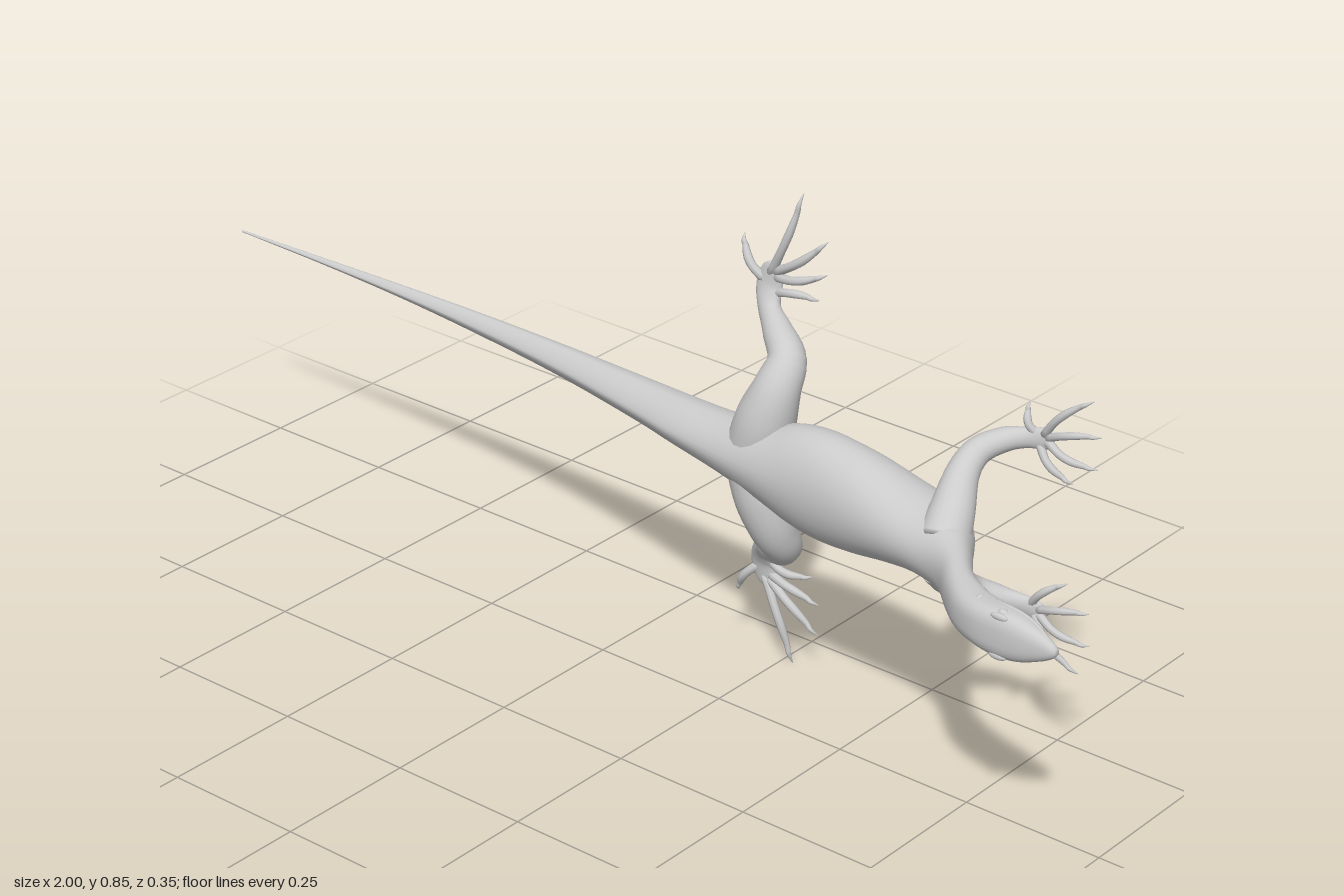
import * as THREE from 'three';

const MID = 0.43; // height of the mirror plane through the spine
const material = new THREE.MeshStandardMaterial({ color: 0xcccccc });
const V = (x, y, z) => new THREE.Vector3(x, y, z);

// Smooth closed skin over rings of points, with a centre point at each end
function loft(name, rings) {
  const n = rings[0].length, pos = [], idx = [];
  rings.forEach((r) => r.forEach((p) => pos.push(p.x, p.y, p.z)));
  for (let i = 0; i < rings.length - 1; i++) {
    for (let j = 0; j < n; j++) {
      const k = (j + 1) % n, a = i * n, b = a + n;
      idx.push(a + j, a + k, b + j, a + k, b + k, b + j);
    }
  }
  const last = rings.length - 1;
  [0, last].forEach((i) => {
    const c = rings[i].reduce((s, p) => s.add(p), V(0, 0, 0)).divideScalar(n);
    const ci = pos.length / 3;
    pos.push(c.x, c.y, c.z);
    for (let j = 0; j < n; j++) {
      const a = i * n + j, b = i * n + (j + 1) % n;
      if (i === 0) idx.push(ci, b, a);
      else idx.push(ci, a, b);
    }
  });
  const g = new THREE.BufferGeometry();
  g.setAttribute('position', new THREE.Float32BufferAttribute(pos, 3));
  g.setIndex(idx);
  g.computeVertexNormals();
  const mesh = new THREE.Mesh(g, material);
  mesh.name = name;
  return mesh;
}

// Tapered limb through stations [x, y, z, radius, flatness]; side -1 mirrors it
function limb(name, stations, side, steps, sides) {
  const place = (s) => V(s[0], MID + side * (s[1] - MID), s[2]);
  const path = new THREE.CatmullRomCurve3(stations.map(place), false, 'catmullrom', 0.5);
  const size = new THREE.CatmullRomCurve3(stations.map((s) => V(s[3], s[4] ?? 1, 0)), false, 'catmullrom', 0.5);
  const rings = [];
  for (let i = 0; i <= steps; i++) {
    const c = path.getPoint(i / steps), t = path.getTangent(i / steps), r = size.getPoint(i / steps);
    const e1 = t.clone().cross(V(0, 0, 1)).normalize();
    const e2 = t.clone().cross(e1);
    rings.push(Array.from({ length: sides }, (_, j) => {
      const a = (j / sides) * Math.PI * 2;
      return c.clone().addScaledVector(e1, r.x * Math.cos(a)).addScaledVector(e2, r.x * r.y * Math.sin(a));
    }));
  }
  return loft(name, rings);
}

// Body stations: back x, back z, belly x, belly z, half width, roundness (1 round, more = ridged, less = boxy)
const BODY = [
  [-1.0, -0.172, -1.0, -0.176, 0.002, 1.2],
  [-0.8, -0.166, -0.8, -0.178, 0.006, 1.3],
  [-0.6, -0.155, -0.6, -0.177, 0.012, 1.35],
  [-0.4, -0.136, -0.4, -0.171, 0.02, 1.35],
  [-0.2, -0.107, -0.2, -0.161, 0.028, 1.35],
  [0.0, -0.065, 0.0, -0.147, 0.037, 1.3],
  [0.1, -0.041, 0.1, -0.138, 0.043, 1.25],
  [0.2, -0.022, 0.2, -0.13, 0.051, 1.15],
  [0.3, -0.006, 0.3, -0.125, 0.07, 1.1],
  [0.36, 0.001, 0.36, -0.125, 0.087, 1.05],
  [0.42, 0.008, 0.42, -0.124, 0.093, 1],
  [0.5, 0.02, 0.5, -0.122, 0.085, 1],
  [0.58, 0.033, 0.58, -0.117, 0.068, 1],
  [0.64, 0.043, 0.65, -0.102, 0.058, 1],
  [0.69, 0.055, 0.7, -0.062, 0.053, 0.95],
  [0.73, 0.077, 0.74, -0.002, 0.044, 0.9],
  [0.77, 0.115, 0.79, 0.062, 0.039, 0.85],
  [0.81, 0.148, 0.84, 0.094, 0.037, 0.75],
  [0.855, 0.167, 0.87, 0.107, 0.038, 0.7],
  [0.9, 0.172, 0.905, 0.119, 0.04, 0.7],
  [0.94, 0.17, 0.94, 0.126, 0.035, 0.75],
  [0.975, 0.163, 0.975, 0.135, 0.022, 0.85],
  [0.993, 0.158, 0.993, 0.14, 0.012, 0.95],
  [1.0, 0.153, 1.0, 0.144, 0.005, 1],
];

function makeBody() {
  const back = new THREE.CatmullRomCurve3(BODY.map((s) => V(s[0], s[1], s[4])), false, 'catmullrom', 0.5);
  const belly = new THREE.CatmullRomCurve3(BODY.map((s) => V(s[2], s[3], s[5])), false, 'catmullrom', 0.5);
  const steps = (BODY.length - 1) * 5, sides = 32, rings = [];
  for (let i = 0; i <= steps; i++) {
    const b = back.getPoint(i / steps), u = belly.getPoint(i / steps);
    rings.push(Array.from({ length: sides }, (_, j) => {
      const a = (j / sides) * Math.PI * 2, c = Math.cos(a), s = Math.sin(a);
      const p = s > 0 ? u.z : Math.min(u.z, 1); // only the back carries a ridge
      const cy = Math.sign(c) * Math.abs(c) ** p, sz = Math.sign(s) * Math.abs(s) ** p;
      const k = (1 + sz) / 2;
      return V(u.x + (b.x - u.x) * k, MID + b.z * cy, u.y + (b.y - u.y) * k);
    }));
  }
  return loft('body', rings);
}

const FRONT_LEG = [
  [0.685, 0.445, 0.0, 0.042], [0.675, 0.485, -0.035, 0.036], [0.66, 0.525, -0.08, 0.027],
  [0.663, 0.551, -0.115, 0.023], [0.69, 0.568, -0.145, 0.02], [0.72, 0.575, -0.161, 0.017, 0.7],
  [0.75, 0.58, -0.167, 0.018, 0.4], [0.765, 0.583, -0.167, 0.008, 0.5],
];
const HIND_LEG = [
  [0.262, 0.44, -0.075, 0.052], [0.28, 0.5, -0.073, 0.05], [0.295, 0.555, -0.08, 0.04],
  [0.295, 0.598, -0.105, 0.032], [0.255, 0.625, -0.132, 0.025], [0.222, 0.645, -0.153, 0.021, 0.8],
  [0.211, 0.675, -0.163, 0.025, 0.4], [0.215, 0.705, -0.166, 0.023, 0.32], [0.22, 0.722, -0.166, 0.01, 0.5],
];
// Toes: root x, y, tip x, y, sideways bow
const FRONT_TOES = [
  [0.735, 0.585, 0.717, 0.632, 0.005], [0.75, 0.588, 0.833, 0.668, 0.008], [0.757, 0.585, 0.85, 0.612, 0.006],
  [0.757, 0.577, 0.846, 0.556, -0.005], [0.742, 0.57, 0.803, 0.517, -0.006],
];
const HIND_TOES = [
  [0.2, 0.69, 0.153, 0.755, 0.006], [0.213, 0.705, 0.27, 0.855, -0.008], [0.224, 0.71, 0.32, 0.785, -0.006],
  [0.226, 0.7, 0.32, 0.728, -0.005], [0.222, 0.672, 0.306, 0.68, 0.008],
];

// Arched toe ending in a thin claw
function makeToe(name, [x0, y0, x1, y1, bow], r, side) {
  const d = Math.hypot(x1 - x0, y1 - y0), nx = -(y1 - y0) / d, ny = (x1 - x0) / d;
  const profile = [[0, -0.166, 1.1], [0.3, -0.159, 0.95], [0.55, -0.16, 0.95], [0.78, -0.165, 0.65], [0.88, -0.165, 0.5], [1, -0.172, 0.1]];
  const stations = profile.map(([t, z, k]) => {
    const w = bow * Math.sin(t * Math.PI);
    return [x0 + (x1 - x0) * t + nx * w, y0 + (y1 - y0) * t + ny * w, z, r * k];
  });
  return limb(name, stations, side, 15, 8);
}

function ball(name, x, y, z, r, sx, sy, sz) {
  const mesh = new THREE.Mesh(new THREE.SphereGeometry(r, 16, 12), material);
  mesh.name = name;
  mesh.position.set(x, y, z);
  mesh.scale.set(sx, sy, sz);
  return mesh;
}

export function createModel() {
  const model = new THREE.Group();
  model.name = 'lizard';
  model.add(makeBody());

  for (const side of [1, -1]) {
    const label = side > 0 ? 'upper' : 'lower';
    const sets = [['FrontLeg', FRONT_LEG, FRONT_TOES, 0.0068], ['HindLeg', HIND_LEG, HIND_TOES, 0.0078]];
    for (const [kind, leg, toes, r] of sets) {
      const group = new THREE.Group();
      group.name = label + kind;
      group.add(limb('leg', leg, side, 40, 20));
      toes.forEach((t, i) => group.add(makeToe('toe' + (i + 1), t, r, side)));
      model.add(group);
    }
    // Eye, brow, ear and mouth line on each cheek
    model.add(ball(label + 'Eye', 0.905, MID + side * 0.036, 0.154, 0.009, 1, 0.65, 0.8));
    model.add(ball(label + 'Brow', 0.905, MID + side * 0.033, 0.164, 0.012, 1.3, 0.5, 0.4));
    model.add(ball(label + 'Ear', 0.85, MID + side * 0.036, 0.135, 0.008, 0.6, 0.4, 1));
    model.add(limb(label + 'Lip', [
      [0.875, MID + 0.037, 0.132, 0.002], [0.91, MID + 0.0375, 0.137, 0.0035],
      [0.945, MID + 0.032, 0.14, 0.0035], [0.975, MID + 0.0205, 0.146, 0.0025], [0.995, MID + 0.007, 0.148, 0.0015],
    ], side, 16, 8));
  }
  return model;
}
